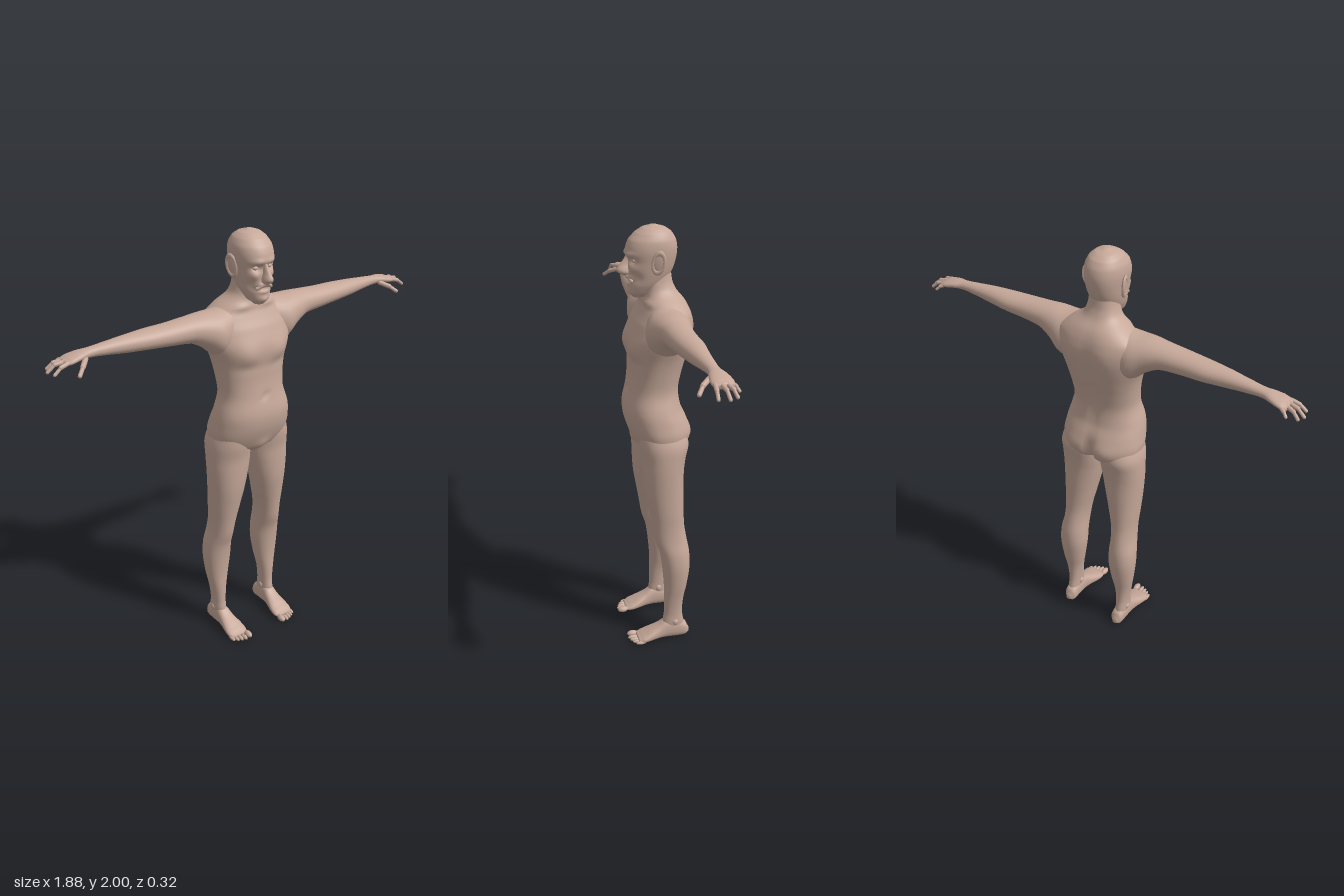
import * as THREE from 'three';

const skin = new THREE.MeshStandardMaterial({ color: 0xc6a899 });
skin.name = 'skin';

// Where (t, u, v) of a cross-section goes for a loft that runs along each axis
const AXES = {
  y: (t, u, v) => [u, t, v],
  x: (t, u, v) => [t, v, u],
  z: (t, u, v) => [v, u, t],
};

const spline = (a, b, c, d, t) =>
  0.5 * (2 * b + (c - a) * t + (2 * a - 5 * b + 4 * c - d) * t * t + (3 * b - a - 3 * c + d) * t ** 3);

// Smooth closed body through sections [t, uMin, uMax, vMin, vMax], with t rising
function loft(axis, sections, { sides = 32, steps = 4, power = 2 } = {}) {
  const place = AXES[axis], pos = [], index = [], last = sections.length - 1;
  const at = (i) => sections[Math.min(Math.max(i, 0), last)];
  const rings = last * steps;
  const mids = [];
  const round = (c) => Math.sign(c) * Math.abs(c) ** (2 / power);
  for (let r = 0; r <= rings; r++) {
    const i = Math.min(Math.floor(r / steps), last - 1), f = r / steps - i;
    const [t, u0, u1, v0, v1] = at(i).map((b, k) =>
      k === 0 ? b + (at(i + 1)[0] - b) * f : spline(at(i - 1)[k], b, at(i + 1)[k], at(i + 2)[k], f));
    const u = (u0 + u1) / 2, v = (v0 + v1) / 2;
    mids.push([t, u, v]);
    for (let j = 0; j < sides; j++) {
      const a = (j / sides) * Math.PI * 2;
      pos.push(...place(t, u + round(Math.cos(a)) * (u1 - u0) / 2, v + round(Math.sin(a)) * (v1 - v0) / 2));
    }
  }
  const low = (rings + 1) * sides, high = low + 1;
  pos.push(...place(...mids[0]), ...place(...mids[rings]));
  for (let j = 0; j < sides; j++) {
    const k = (j + 1) % sides;
    for (let r = 0; r < rings; r++) {
      const a = r * sides, b = a + sides;
      index.push(a + j, b + j, a + k, a + k, b + j, b + k);
    }
    index.push(low, j, k, high, rings * sides + k, rings * sides + j);
  }
  const g = new THREE.BufferGeometry();
  g.setAttribute('position', new THREE.Float32BufferAttribute(pos, 3));
  g.setIndex(index);
  g.computeVertexNormals();
  return g;
}

// Push the surface along z around each [x, y, z, widthX, widthY, amount]
function sculpt(g, bumps) {
  const p = g.attributes.position;
  for (let i = 0; i < p.count; i++) {
    const x = p.getX(i), y = p.getY(i), z = p.getZ(i);
    let dz = 0;
    for (const [bx, by, bz, wx, wy, amount] of bumps)
      dz += amount * Math.exp(-(((x - bx) / wx) ** 2) - ((y - by) / wy) ** 2 - ((z - bz) / 0.07) ** 2);
    p.setZ(i, z + dz);
  }
  g.computeVertexNormals();
  return g;
}

const both = (bumps) => bumps.flatMap((b) => [b, [-b[0], ...b.slice(1)]]);

function mirrored(g) {
  const m = g.clone().scale(-1, 1, 1), ix = m.index.array;
  for (let i = 0; i < ix.length; i += 3) [ix[i], ix[i + 1]] = [ix[i + 1], ix[i]];
  m.computeVertexNormals();
  return m;
}

// Rounded segment between two points
function segment(a, b, r) {
  const p = new THREE.Vector3(...a), q = new THREE.Vector3(...b), d = q.clone().sub(p);
  const g = new THREE.CapsuleGeometry(r, d.length(), 5, 12);
  g.applyQuaternion(new THREE.Quaternion().setFromUnitVectors(new THREE.Vector3(0, 1, 0), d.normalize()));
  return g.translate(...p.add(q).multiplyScalar(0.5).toArray());
}

const blob = (x, y, z, rx, ry, rz) => new THREE.SphereGeometry(1, 20, 14).scale(rx, ry, rz).translate(x, y, z);

export function createModel() {
  const model = new THREE.Group();
  model.name = 'figure';
  const add = (name, g) => {
    const m = new THREE.Mesh(g, skin);
    m.name = name;
    model.add(m);
  };
  const pair = (name, g) => {
    add('left' + name, g);
    add('right' + name, mirrored(g));
  };

  // Torso and neck: [y, half width, back, front]
  const torso = [
    [0.985, 0.08, -0.07, 0.05], [1.02, 0.175, -0.13, 0.085], [1.08, 0.195, -0.15, 0.115],
    [1.14, 0.19, -0.14, 0.133], [1.2, 0.178, -0.115, 0.137], [1.28, 0.155, -0.105, 0.122],
    [1.36, 0.16, -0.118, 0.113], [1.44, 0.175, -0.138, 0.115], [1.52, 0.2, -0.152, 0.115],
    [1.59, 0.205, -0.158, 0.09], [1.64, 0.19, -0.15, 0.062], [1.68, 0.14, -0.132, 0.045],
    [1.72, 0.085, -0.1, 0.043], [1.76, 0.067, -0.082, 0.045], [1.82, 0.06, -0.075, 0.045],
  ].map(([y, w, b, f]) => [y, -w, w, b, f]);
  add('torso', sculpt(loft('y', torso, { sides: 56, steps: 5, power: 2.3 }), [
    ...both([
      [0.085, 1.48, 0.11, 0.06, 0.045, 0.014],  // chest
      [0.085, 1.42, 0.11, 0.07, 0.02, -0.006],
      [0.09, 1.56, -0.15, 0.05, 0.07, -0.008],  // shoulder blades
      [0.085, 1.07, -0.14, 0.06, 0.05, -0.014], // buttocks
      [0.07, 1.68, 0.03, 0.05, 0.015, 0.012],   // collarbones
    ]),
    [0, 1.05, -0.15, 0.018, 0.07, 0.035],
    [0, 1.4, -0.13, 0.02, 0.2, 0.012],
    [0, 1.28, 0.12, 0.01, 0.012, -0.012],
    [0, 1.03, 0.09, 0.03, 0.03, 0.014],
  ]));

  // Head with sculpted face: [y, half width, back, front]
  const head = [
    [1.695, 0.022, 0.035, 0.09], [1.715, 0.045, 0, 0.107], [1.755, 0.064, -0.045, 0.111],
    [1.8, 0.075, -0.078, 0.113], [1.85, 0.082, -0.096, 0.115], [1.9, 0.087, -0.103, 0.12],
    [1.94, 0.083, -0.096, 0.106], [1.97, 0.068, -0.077, 0.077], [1.988, 0.046, -0.05, 0.048],
    [2, 0.012, -0.012, 0.012],
  ].map(([y, w, b, f]) => [y, -w, w, b, f]);
  add('head', sculpt(loft('y', head, { sides: 64, steps: 7, power: 2.15 }), [
    ...both([
      [0.034, 1.858, 0.11, 0.019, 0.014, -0.02],  // eye sockets
      [0.035, 1.885, 0.11, 0.028, 0.01, 0.009],   // brows
      [0.05, 1.825, 0.1, 0.018, 0.018, 0.009],    // cheeks
      [0.055, 1.785, 0.09, 0.016, 0.025, -0.01],
      [0.024, 1.785, 0.11, 0.016, 0.012, 0.01],   // upper lip
    ]),
    [0, 1.768, 0.11, 0.03, 0.006, -0.012],
    [0, 1.755, 0.11, 0.02, 0.008, 0.006],
    [0, 1.722, 0.11, 0.025, 0.014, 0.008],
  ]));
  add('nose', loft('y', [
    [1.792, -0.012, 0.012, 0.095, 0.135], [1.803, -0.021, 0.021, 0.09, 0.153],
    [1.817, -0.02, 0.02, 0.09, 0.16], [1.838, -0.013, 0.013, 0.09, 0.146],
    [1.862, -0.01, 0.01, 0.085, 0.128], [1.885, -0.012, 0.012, 0.08, 0.118],
  ], { sides: 20 }));
  pair('Eye', blob(0.034, 1.857, 0.087, 0.014, 0.01, 0.012));
  pair('Moustache', segment([0.008, 1.79, 0.116], [0.036, 1.772, 0.103], 0.008));

  // Ear: a bowl with a raised rim, tilted back
  const shapeEar = (g) => g.rotateZ(-0.12).rotateX(-0.15).translate(0.089, 1.855, -0.002);
  pair('EarRim', shapeEar(new THREE.TorusGeometry(0.024, 0.007, 8, 28).scale(1, 1.75, 1).rotateY(Math.PI / 2 - 0.3)));
  pair('Ear', shapeEar(new THREE.SphereGeometry(1, 18, 12).scale(0.006, 0.042, 0.024).rotateY(-0.3)));

  // Arm to the knuckles: [x, back, front, bottom, top]
  pair('Arm', loft('x', [
    [0.08, -0.11, 0.05, 1.5, 1.685], [0.17, -0.128, 0.075, 1.47, 1.674], [0.235, -0.108, 0.062, 1.52, 1.674],
    [0.3, -0.092, 0.045, 1.556, 1.67], [0.4, -0.085, 0.037, 1.568, 1.664], [0.5, -0.085, 0.027, 1.576, 1.66],
    [0.6, -0.073, 0.012, 1.584, 1.655], [0.7, -0.065, -0.005, 1.595, 1.646], [0.76, -0.064, -0.011, 1.6, 1.64],
    [0.8, -0.077, -0.002, 1.6, 1.636], [0.845, -0.086, 0.003, 1.594, 1.626], [0.872, -0.08, -0.004, 1.594, 1.616],
  ], { power: 2.1 }));

  // Fingers and thumb: knuckle, joint, tip, radius
  [
    [[0.845, 1.608, -0.074], [0.868, 1.6, -0.086], [0.882, 1.586, -0.094], 0.008],
    [[0.86, 1.609, -0.054], [0.898, 1.602, -0.066], [0.923, 1.58, -0.074], 0.009],
    [[0.86, 1.61, -0.032], [0.904, 1.603, -0.039], [0.935, 1.578, -0.043], 0.009],
    [[0.86, 1.609, -0.009], [0.895, 1.6, -0.005], [0.924, 1.578, -0.002], 0.009],
    [[0.785, 1.607, -0.012], [0.815, 1.592, 0.022], [0.842, 1.569, 0.044], 0.011],
  ].forEach(([a, b, c, r], i) => {
    pair('Finger' + i, segment(a, b, r));
    pair('Fingertip' + i, segment(b, c, r * 0.8));
  });

  // Leg: [y, inner, outer, back, front]
  pair('Leg', loft('y', [
    [0.03, 0.118, 0.172, -0.125, -0.02], [0.09, 0.116, 0.177, -0.115, -0.012], [0.14, 0.115, 0.177, -0.108, -0.018],
    [0.22, 0.108, 0.186, -0.112, -0.018], [0.3, 0.092, 0.2, -0.127, -0.018], [0.4, 0.078, 0.21, -0.14, -0.01],
    [0.48, 0.078, 0.207, -0.138, 0.002], [0.55, 0.08, 0.195, -0.126, 0.024], [0.62, 0.073, 0.192, -0.115, 0.036],
    [0.7, 0.056, 0.197, -0.112, 0.05], [0.8, 0.034, 0.202, -0.112, 0.067], [0.9, 0.014, 0.207, -0.113, 0.074],
    [0.97, 0.004, 0.208, -0.122, 0.077], [1.04, 0.005, 0.204, -0.135, 0.088], [1.12, 0.02, 0.18, -0.11, 0.09],
  ], { sides: 36, power: 2.15 }));

  // Foot: [z, bottom, top, inner, outer]
  pair('Foot', loft('z', [
    [-0.142, 0.015, 0.04, 0.133, 0.158], [-0.125, 0.002, 0.075, 0.116, 0.173], [-0.08, 0, 0.1, 0.113, 0.177],
    [-0.03, 0.002, 0.105, 0.111, 0.178], [0.01, 0.003, 0.078, 0.104, 0.182], [0.055, 0.001, 0.054, 0.093, 0.19],
    [0.09, 0.001, 0.036, 0.09, 0.192], [0.115, 0.005, 0.024, 0.096, 0.18],
  ], { power: 2.4 }));
  [[0.104, 0.132, 0.015], [0.129, 0.133, 0.01], [0.148, 0.126, 0.0095], [0.166, 0.117, 0.009], [0.183, 0.104, 0.009]]
    .forEach(([x, z, r], i) => pair('Toe' + i, blob(x, r, z, r, r, 0.026)));

  // Ankle bones
  pair('OuterAnkle', blob(0.171, 0.095, -0.068, 0.012, 0.018, 0.016));
  pair('InnerAnkle', blob(0.121, 0.105, -0.06, 0.012, 0.018, 0.016));
  return model;
}
